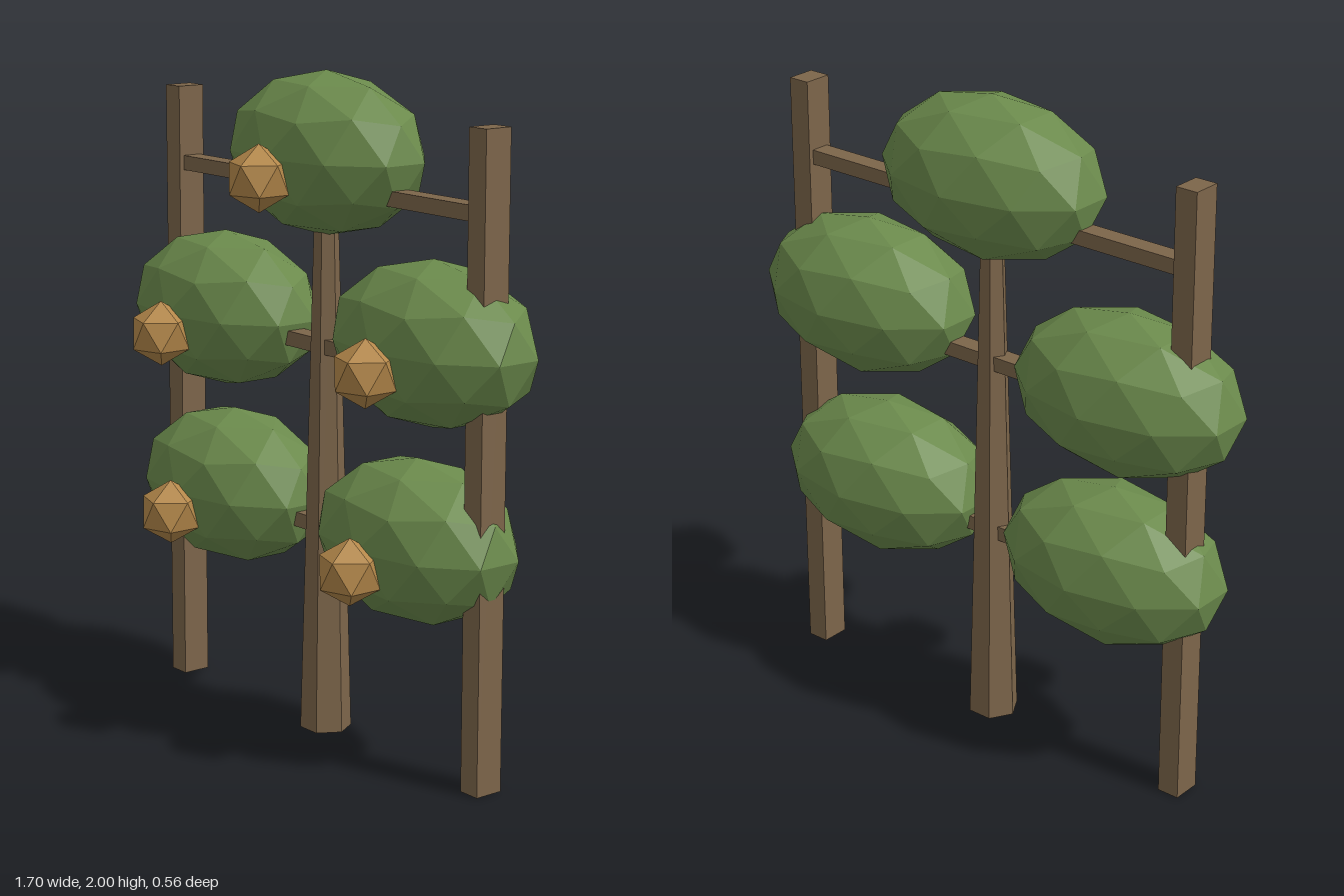
import * as THREE from 'three';

const mat = (name, color) => {
  const m = new THREE.MeshStandardMaterial({ color, flatShading: true });
  m.name = name;
  return m;
};

// Icosphere with a vertex at each pole
function icosphere(detail) {
  const g = new THREE.IcosahedronGeometry(1, detail);
  g.rotateX(-Math.atan2((1 + Math.sqrt(5)) / 2, 1));
  g.rotateY(Math.PI / 2);
  return g;
}

export function createModel() {
  const group = new THREE.Group();
  group.name = 'espalierTree';
  const wood = mat('wood brown', 0x7c654a);
  const leaf = mat('leaf green', 0x6b8a4c);
  const fruitMat = mat('fruit ochre', 0xb4884a);
  const Z = -0.047; // plane of the trellis

  const add = (name, geo, material, x, y, z) => {
    const mesh = new THREE.Mesh(geo, material);
    mesh.name = name;
    mesh.position.set(x, y, z);
    group.add(mesh);
    return mesh;
  };

  // Trellis posts and rails
  const post = new THREE.BoxGeometry(0.07, 1.9, 0.09);
  add('leftPost', post, wood, 0.713, 0.95, Z);
  add('rightPost', post, wood, -0.707, 0.95, Z);
  const rail = new THREE.BoxGeometry(1.42, 0.045, 0.06);
  [0.635, 1.188, 1.662].forEach((y, i) => add('rail' + (i + 1), rail, wood, 0.003, y, Z));

  // Tapered six-sided trunk
  const trunk = new THREE.CylinderGeometry(0.033, 0.078, 1.7, 6);
  trunk.rotateY(Math.PI / 6);
  add('trunk', trunk, wood, 0.003, 0.85, Z);

  // Foliage clumps, each with a fruit low on its front
  const foliage = icosphere(1).scale(0.376, 0.242, 0.23);
  const fruit = icosphere(0).scale(0.1, 0.1, 0.1);
  [
    [0.003, 1.758], [-0.495, 1.229], [0.487, 1.268], [-0.455, 0.675], [0.422, 0.683],
  ].forEach(([x, y], i) => {
    add('foliage' + (i + 1), foliage, leaf, x, y, Z);
    add('fruit' + (i + 1), fruit, fruitMat, x, y - 0.054, 0.2);
  });

  return group;
}
